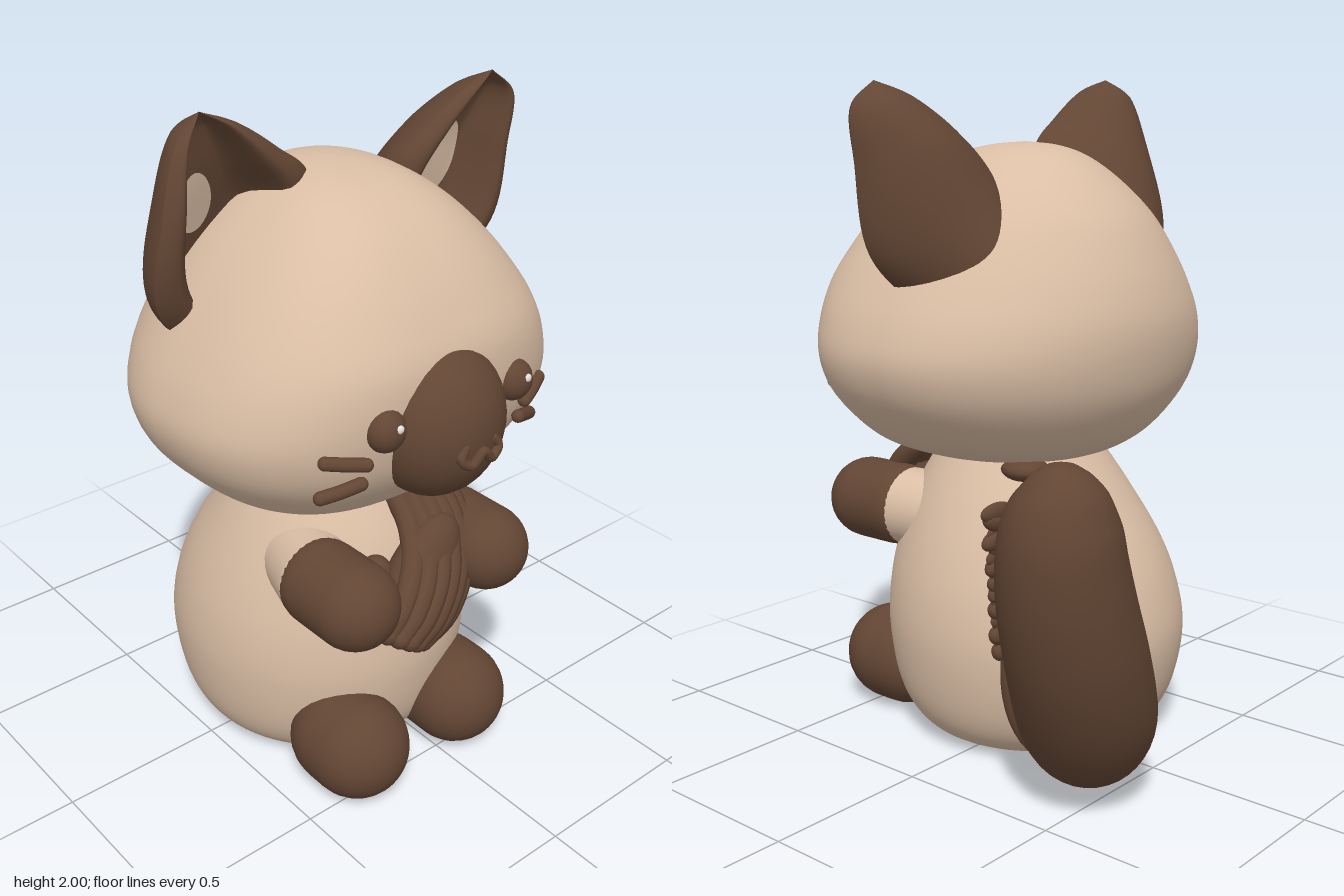
import * as THREE from 'three';

const V = (x, y, z) => new THREE.Vector3(x, y, z);
const spline = (pts) => new THREE.CatmullRomCurve3(pts.map((p) => V(...p)));

const cream = new THREE.MeshStandardMaterial({ color: 0xdabea5, side: THREE.DoubleSide });
cream.name = 'cream';
const brown = new THREE.MeshStandardMaterial({ color: 0x634634 });
brown.name = 'brown';
const white = new THREE.MeshStandardMaterial({ color: 0xf4efe8 });
white.name = 'white';

// Smooth surface closed in u, open in v, from a rule fn(u, v) -> Vector3
function surface(fn, nu, nv) {
  const pos = [], idx = [];
  for (let j = 0; j <= nv; j++)
    for (let i = 0; i < nu; i++) pos.push(...fn(i / nu, j / nv).toArray());
  for (let j = 0; j < nv; j++)
    for (let i = 0; i < nu; i++) {
      const a = j * nu + i, b = j * nu + ((i + 1) % nu), c = a + nu, d = b + nu;
      idx.push(a, c, b, b, c, d);
    }
  const g = new THREE.BufferGeometry();
  g.setAttribute('position', new THREE.Float32BufferAttribute(pos, 3));
  g.setIndex(idx);
  g.computeVertexNormals();
  return g;
}

// Stacked ellipses, squarer in front when n > 2; each row is [y, halfWidth, halfDepth, centreZ]
function stack(rows, cx, n) {
  const size = spline(rows.map((r) => [r[0], r[1], r[2]]));
  const shift = spline(rows.map((r) => [r[0], r[3], 0]));
  return surface((u, v) => {
    const s = size.getPoint(v), a = u * Math.PI * 2, p = u < 0.5 ? 2 / n : 1;
    const bend = (k) => Math.sign(k) * Math.abs(k) ** p;
    return V(cx + Math.max(0, s.y) * bend(Math.cos(a)), s.x,
      shift.getPoint(v).y + Math.max(0, s.z) * bend(Math.sin(a)));
  }, 72, 56);
}

// Round sweep with changing radius; each row is [x, y, z, radius]
function sweep(rows) {
  const path = spline(rows.map((r) => r.slice(0, 3)));
  const radius = spline(rows.map((r, i) => [i, r[3], 0]));
  return surface((u, v) => {
    const T = path.getTangent(v), N = V(0, 0, 1).cross(T).normalize();
    const B = T.clone().cross(N), a = -u * Math.PI * 2, r = Math.max(0, radius.getPoint(v).y);
    return path.getPoint(v).addScaledVector(N, r * Math.cos(a)).addScaledVector(B, r * Math.sin(a));
  }, 36, 56);
}

export function createModel() {
  const model = new THREE.Group();
  const add = (name, geo, mat) => {
    const m = new THREE.Mesh(geo, mat);
    m.name = name;
    model.add(m);
    return m;
  };
  const ball = (name, mat, [x, y, z], [rx, ry, rz]) => {
    const n = Math.max(rx, ry, rz) > 0.1 ? 32 : 14;
    const m = add(name, new THREE.SphereGeometry(1, n, n / 2 + 3), mat);
    m.position.set(x, y, z);
    m.scale.set(rx, ry, rz);
    return m;
  };
  const tube = (name, pts, r) => {
    const c = spline(pts);
    add(name, new THREE.TubeGeometry(c, 28, r, 10), brown);
    for (const t of [0, 1]) ball(name + 'End', brown, c.getPoint(t).toArray(), [r, r, r]);
  };
  // Capsule between two points
  const limb = (name, mat, from, to, r) => {
    const a = V(...from), b = V(...to), d = b.clone().sub(a);
    const m = add(name, new THREE.CapsuleGeometry(r, d.length(), 10, 32), mat);
    m.position.copy(a).lerp(b, 0.5);
    m.quaternion.setFromUnitVectors(V(0, 1, 0), d.normalize());
  };

  // Head and body
  add('head', stack([
    [0.865, 0, 0, 0.08], [0.88, 0.26, 0.25, 0.08], [0.93, 0.41, 0.36, 0.08], [1.0, 0.5, 0.43, 0.08],
    [1.1, 0.58, 0.49, 0.08], [1.2, 0.608, 0.515, 0.08], [1.3, 0.585, 0.522, 0.082], [1.4, 0.535, 0.507, 0.088],
    [1.5, 0.47, 0.465, 0.085], [1.6, 0.39, 0.405, 0.08], [1.7, 0.285, 0.31, 0.08],
    [1.77, 0.18, 0.2, 0.07], [1.8, 0.09, 0.1, 0.06], [1.81, 0, 0, 0.06]], -0.077, 2.6), cream);
  add('body', stack([
    [0.01, 0, 0, 0.02], [0.012, 0.31, 0.31, 0.02], [0.06, 0.38, 0.38, 0.02], [0.15, 0.425, 0.435, 0.02],
    [0.33, 0.45, 0.47, 0.02], [0.47, 0.437, 0.455, 0.03], [0.6, 0.4, 0.415, 0.045],
    [0.75, 0.335, 0.34, 0.07], [0.87, 0.27, 0.26, 0.08], [0.95, 0.22, 0.2, 0.08]], -0.085, 2), cream);

  // Ears: swept from outer and inner edges, rounded behind and hollow in front
  const ear = (name, left, right, [sc, tc, rs, rt]) => {
    const L = spline(left), R = spline(right);
    const depth = (t) => 0.28 * (1 - t ** 1.7);
    const back = (s, t) => L.getPoint(t).lerp(R.getPoint(t), s)
      .add(V(0, 0, -depth(t) * Math.sin(Math.PI * s) ** 0.55));
    const front = (s, t) => {
      const e = 2 * Math.min(s, 1 - s);
      const rim = 0.035 * (1 - t ** 4) * Math.sin(Math.PI * Math.min(1, e / 0.5));
      const hollow = 0.5 * depth(t) * THREE.MathUtils.smoothstep(e, 0.3, 0.62);
      return L.getPoint(t).lerp(R.getPoint(t), s).add(V(0, 0, rim - hollow));
    };
    // Samples crowd towards the edges so that the rounded back stays smooth
    const ease = (k) => (1 - Math.cos(Math.PI * k)) / 2;
    add(name, surface((u, t) => (u < 0.5 ? back(ease(u * 2), t) : front(ease(2 - u * 2), t)), 72, 36), brown);
    // Pale inner patch lying on the hollow
    add(name + 'Patch', surface((u, r) => front(
      sc + rs * r * Math.cos(u * Math.PI * 2), tc + rt * r * Math.sin(u * Math.PI * 2),
    ).add(V(0, 0, 0.008)), 32, 10), cream);
  };
  ear('rightEar',
    [[-0.46, 1.3, 0.0], [-0.64, 1.5, 0.06], [-0.635, 1.75, 0.1], [-0.575, 1.935, 0.09], [-0.49, 2.0, 0.07]],
    [[-0.2, 1.5, 0.05], [-0.17, 1.78, 0.1], [-0.28, 1.88, 0.11], [-0.4, 1.965, 0.095], [-0.49, 2.0, 0.07]],
    [0.44, 0.41, 0.12, 0.12]);
  ear('leftEar',
    [[0.1, 1.5, 0.08], [0.1, 1.76, 0.15], [0.21, 1.865, 0.165], [0.33, 1.94, 0.17], [0.44, 1.975, 0.165]],
    [[0.34, 1.3, 0.03], [0.51, 1.5, 0.12], [0.54, 1.75, 0.14], [0.53, 1.9, 0.16], [0.44, 1.975, 0.165]],
    [0.53, 0.37, 0.17, 0.16]);

  // Face
  ball('muzzle', brown, [-0.09, 1.205, 0.53], [0.2, 0.222, 0.185]);
  tube('mouth', [[-0.14, 1.195, 0.7], [-0.157, 1.168, 0.705], [-0.125, 1.145, 0.713], [-0.09, 1.178, 0.718],
    [-0.055, 1.145, 0.713], [-0.023, 1.168, 0.705], [-0.04, 1.195, 0.7]], 0.014);
  for (const x of [-0.307, 0.155]) {
    ball('eye', brown, [x, 1.255, 0.58], [0.058, 0.06, 0.05]);
    ball('eyeGlint', white, [x + 0.01, 1.272, 0.624], [0.012, 0.012, 0.008]);
  }
  tube('rightUpperWhisker', [[-0.47, 1.197, 0.535], [-0.42, 1.187, 0.56], [-0.37, 1.177, 0.58]], 0.019);
  tube('rightLowerWhisker', [[-0.47, 1.085, 0.515], [-0.42, 1.098, 0.54], [-0.37, 1.112, 0.56]], 0.019);
  tube('leftUpperWhisker', [[0.2, 1.178, 0.585], [0.25, 1.19, 0.565], [0.3, 1.202, 0.54]], 0.019);
  tube('leftLowerWhisker', [[0.19, 1.127, 0.575], [0.24, 1.106, 0.55], [0.295, 1.082, 0.52]], 0.019);

  // Arms with dark paws, and feet
  for (const [x, y, shoulder] of [[-0.35, 0.7, -0.26], [0.15, 0.685, 0.09]]) {
    limb('arm', cream, [shoulder, y - 0.02, 0.12], [x, y, 0.36], 0.122);
    limb('paw', brown, [x, y, 0.38], [x, y, 0.515], 0.128);
  }
  for (const x of [-0.303, 0.09])
    limb('foot', brown, [x, 0.157, 0.41], [x, 0.157, 0.475], 0.156);

  // Ridged scarf hanging across the chest
  for (let i = 0; i < 6; i++) {
    const k = i / 2.5 - 1, bulge = 0.03 * (1 - k * k);
    tube('scarfFold', [
      [0.02 + 0.08 * k, 0.885, 0.33 + bulge], [0.015 + 0.09 * k, 0.8, 0.43 + bulge],
      [-0.045 + 0.1 * k, 0.69 - 0.03 * k, 0.52 + bulge], [-0.13 + 0.09 * k, 0.6 - 0.045 * k, 0.56 + bulge],
      [-0.195 + 0.07 * k, 0.55 - 0.04 * k, 0.56 + bulge]], 0.034);
  }
  const fill = ball('scarfBack', brown, [-0.08, 0.66, 0.48], [0.11, 0.2, 0.08]);
  fill.rotation.z = -0.6;
  ball('scarfFlap', brown, [-0.2, 0.69, 0.43], [0.05, 0.06, 0.05]);
  ball('scarfKnot', brown, [0.12, 0.865, -0.11], [0.07, 0.035, 0.075]);

  // Tail, with a dark patch where it meets the body
  add('tail', sweep([
    [0.0, 0.13, -0.34, 0.04], [0.1, 0.145, -0.37, 0.12], [0.2, 0.18, -0.42, 0.17], [0.31, 0.28, -0.49, 0.195],
    [0.42, 0.47, -0.54, 0.193], [0.485, 0.64, -0.555, 0.183], [0.513, 0.76, -0.56, 0.172],
    [0.523, 0.86, -0.565, 0.157], [0.527, 0.94, -0.57, 0.124], [0.528, 0.995, -0.57, 0.077],
    [0.528, 1.02, -0.57, 0.037], [0.528, 1.028, -0.57, 0]]), brown);
  const root = ball('tailRoot', brown, [0.232, 0.32, -0.305], [0.15, 0.27, 0.06]);
  root.rotation.y = Math.PI * 0.75;

  // Ragged tuft strip on the front of the tail
  for (let i = 0; i < 17; i++) {
    const t = i / 16, w = 0.052 - 0.024 * t, wob = Math.sin(i * 2.4);
    const tuft = ball('tailTuft', brown, [0.552 - 0.05 * t + 0.012 * wob, 0.87 - 0.4 * t, -0.375 + 0.03 * t],
      [w + 0.008 * Math.cos(i * 3.7), 0.026, 0.016 + 0.006 * wob]);
    tuft.rotation.z = 0.4 * Math.sin(i * 1.9);
  }
  return model;
}
